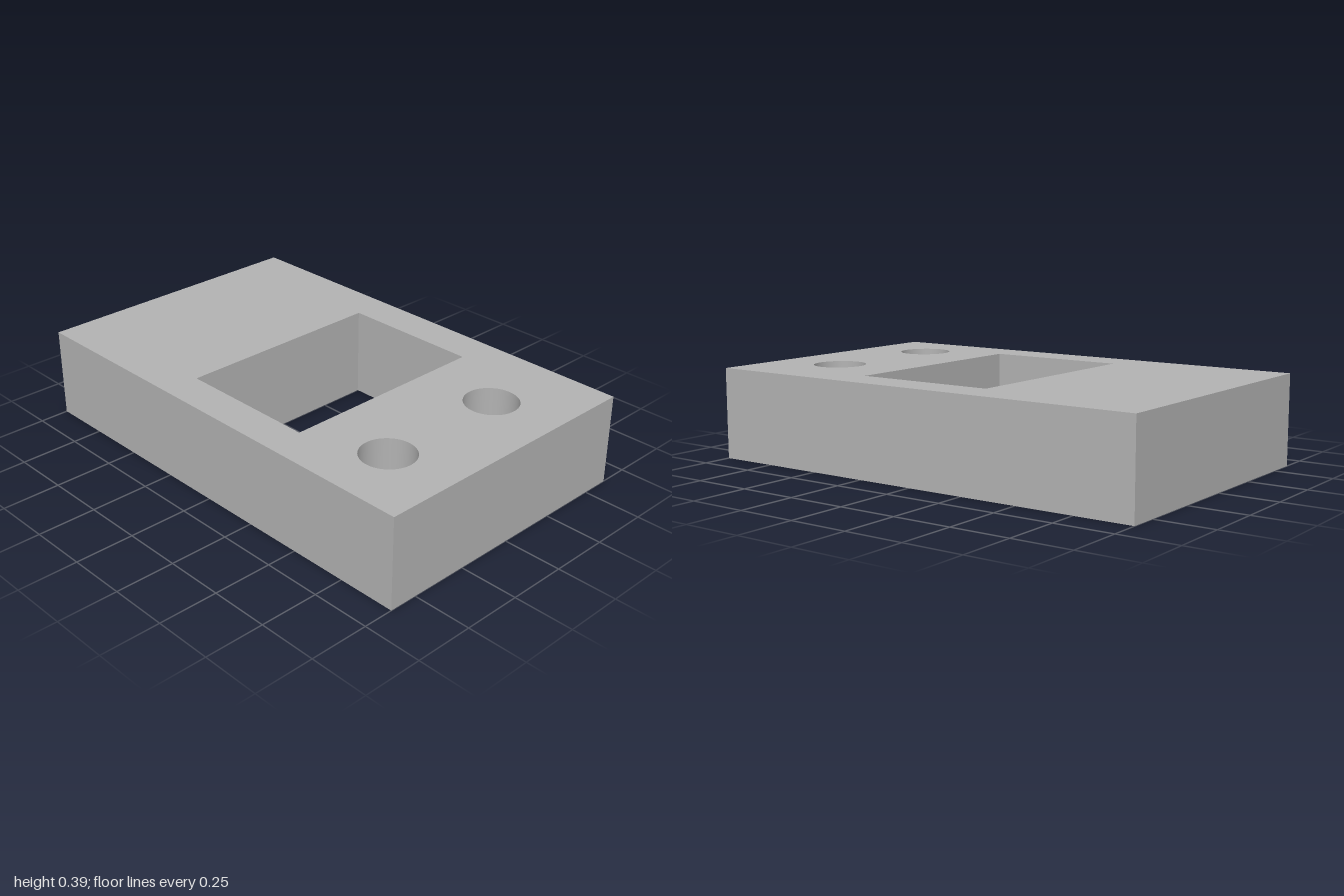
import * as THREE from 'three';

const W = 0.622, D = 1, H = 0.388;                  // half width, half depth, height
const WIN = { x0: -0.463, x1: 0.46, z0: -0.25, z1: 0.36 };
const HOLES = [-0.334, 0.246], HOLE_Z = 0.695;      // screw hole centres
const R = 0.112, R_SINK = 0.203, SINK = 0.092;      // bore, countersink radius and depth

// Corner loop seen from above, starting at the front left of the plan
const rect = (x0, x1, z0, z1) => [[x0, z1], [x1, z1], [x1, z0], [x0, z0]];

export function createModel() {
  const group = new THREE.Group();
  const grey = new THREE.MeshStandardMaterial({ color: 0xb2b2b2 });
  grey.name = 'plain grey';

  const add = (name, geometry, parent = group) => {
    const mesh = new THREE.Mesh(geometry, grey);
    mesh.name = name;
    parent.add(mesh);
    return mesh;
  };

  const outer = rect(-W, W, -D, D);
  const inner = rect(WIN.x0, WIN.x1, WIN.z0, WIN.z1);

  // Flat face with the window and two round holes; side is 1 for up, -1 for down
  const face = (name, side, radius) => {
    const toPoints = (loop) => loop.map(([x, z]) => new THREE.Vector2(x, -side * z));
    const shape = new THREE.Shape(toPoints(outer));
    shape.holes.push(new THREE.Path(toPoints(inner)));
    for (const x of HOLES) {
      shape.holes.push(new THREE.Path().absarc(x, -side * HOLE_Z, radius, 0, Math.PI * 2, true));
    }
    const geometry = new THREE.ShapeGeometry(shape, 32).rotateX(-side * Math.PI / 2);
    add(name, geometry).position.y = side > 0 ? H : 0;
  };
  face('topFace', 1, R);
  face('bottomFace', -1, R_SINK);

  // Upright walls along a corner loop
  const walls = (name, loop) => {
    const set = new THREE.Group();
    set.name = name;
    group.add(set);
    loop.forEach(([x0, z0], i) => {
      const [x1, z1] = loop[(i + 1) % loop.length];
      const geometry = new THREE.PlaneGeometry(Math.hypot(x1 - x0, z1 - z0), H);
      geometry.rotateY(Math.atan2(z0 - z1, x1 - x0));
      geometry.translate((x0 + x1) / 2, H / 2, (z0 + z1) / 2);
      add(name + (i + 1), geometry, set);
    });
  };
  walls('outerWall', outer);
  walls('windowWall', [...inner].reverse());

  // Screw holes: straight bore above, countersink opening below
  const lathe = (r1, y1, r0, y0) =>
    new THREE.LatheGeometry([new THREE.Vector2(r1, y1), new THREE.Vector2(r0, y0)], 64);
  for (const x of HOLES) {
    const hole = new THREE.Group();
    hole.name = 'screwHole';
    hole.position.set(x, 0, HOLE_Z);
    add('bore', lathe(R, H, R, SINK), hole);
    add('countersink', lathe(R, SINK, R_SINK, 0), hole);
    group.add(hole);
  }

  return group;
}
